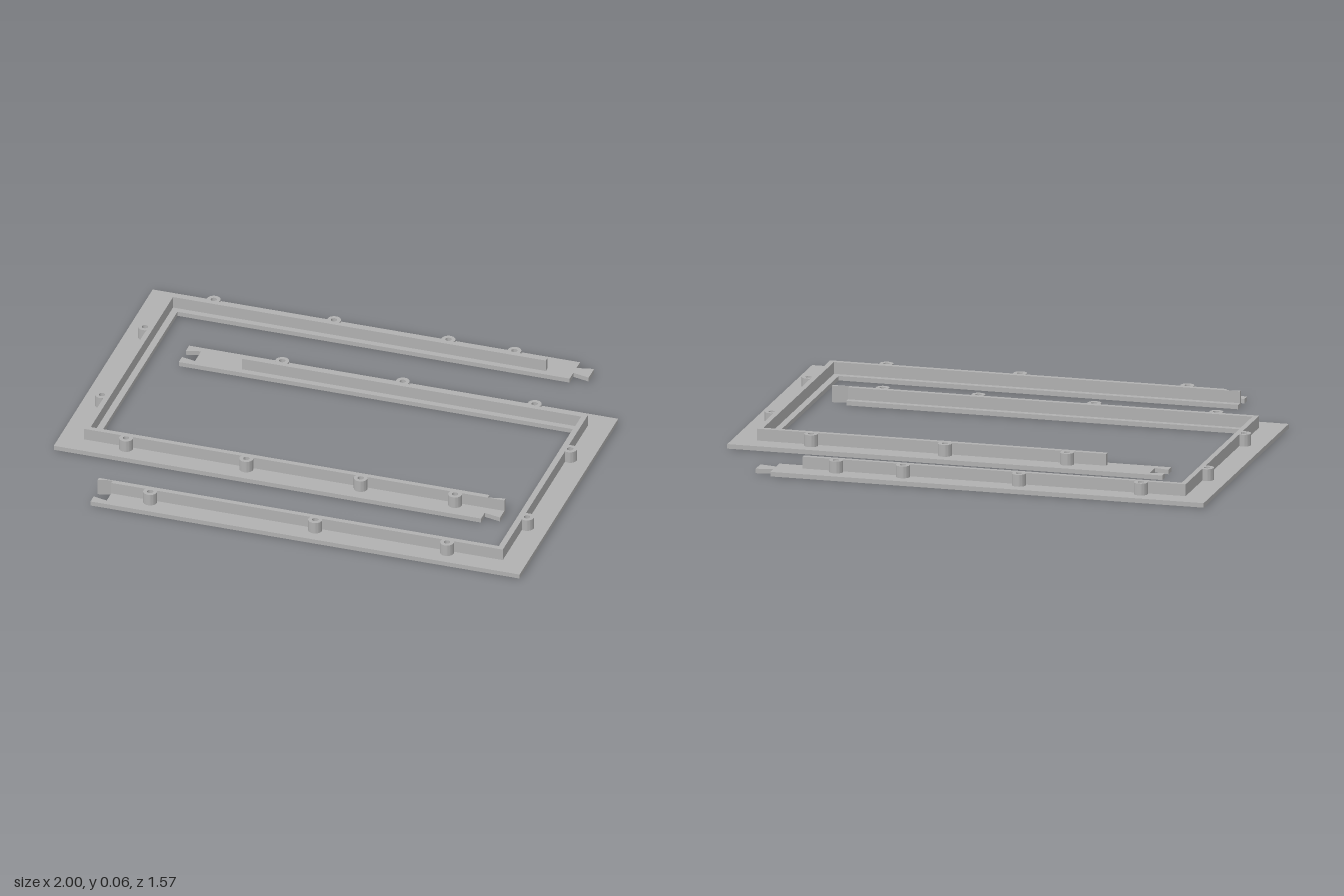
import * as THREE from 'three';
import { toCreasedNormals } from 'three/addons/utils/BufferGeometryUtils.js';

const BASE = 0.018, TOP = 0.065;
const grey = new THREE.MeshStandardMaterial({ color: 0xb0b0b0 });
grey.name = 'grey plastic';

// Extrudes a plan outline of [x, z] points from height y0 to y1
function slab(name, shape, y0, y1) {
  const s = Array.isArray(shape) ? new THREE.Shape(shape.map(p => new THREE.Vector2(...p))) : shape;
  const g = new THREE.ExtrudeGeometry(s, { depth: y1 - y0, bevelEnabled: false, curveSegments: 14 });
  g.rotateX(Math.PI / 2).translate(0, y1, 0);
  const mesh = new THREE.Mesh(toCreasedNormals(g, 0.6), grey);
  mesh.name = name;
  return mesh;
}

// Hollow screw post
function post(x, z) {
  const ring = new THREE.Shape().absarc(0, 0, 0.027, 0, Math.PI * 2);
  ring.holes.push(new THREE.Path().absarc(0, 0, 0.012, 0, Math.PI * 2, true));
  const mesh = slab('screwPost', ring, BASE - 0.002, TOP);
  mesh.position.set(x, 0, z);
  return mesh;
}

// Frame half with dovetail tongues
function tongueHalf() {
  const half = new THREE.Group();
  half.name = 'tongueHalf';
  const tongue = c => [[0.73, c - 0.019], [0.797, c - 0.034], [0.797, c + 0.034], [0.73, c + 0.019]];
  half.add(slab('basePlate', [
    [-1, -0.79], [0.73, -0.79], ...tongue(-0.726), [0.73, -0.662], [-0.858, -0.662],
    [-0.858, 0.302], [0.73, 0.302], ...tongue(0.366), [0.73, 0.43], [-1, 0.43],
  ], 0, BASE));
  half.add(slab('lip', [
    [0.625, -0.708], [0.625, -0.687], [-0.884, -0.687], [-0.884, 0.327], [0.73, 0.327],
    [0.73, 0.347], [0.797, 0.332], [0.797, 0.348], [-0.905, 0.348], [-0.905, -0.708],
  ], BASE, TOP));
  for (const x of [-0.73, -0.243, 0.22, 0.487]) half.add(post(x, -0.72));
  for (const x of [-0.73, -0.243, 0.22, 0.602]) half.add(post(x, 0.361));
  for (const z of [-0.445, 0.085]) half.add(post(-0.918, z));
  return half;
}

// Frame half with dovetail sockets
function socketHalf() {
  const half = new THREE.Group();
  half.name = 'socketHalf';
  const socket = c => [[-0.737, c - 0.024], [-0.68, c - 0.038], [-0.68, c + 0.038], [-0.737, c + 0.024]];
  half.add(slab('basePlate', [
    [1, -0.438], [-0.737, -0.438], ...socket(-0.374), [-0.737, -0.31], [0.858, -0.31],
    [0.858, 0.65], [-0.737, 0.65], ...socket(0.714), [-0.737, 0.778], [1, 0.778],
  ], 0, BASE));
  half.add(slab('lip', [
    [-0.49, -0.356], [-0.49, -0.335], [0.884, -0.335], [0.884, 0.675], [-0.737, 0.675],
    [-0.737, 0.69], [-0.68, 0.677], [-0.68, 0.696], [0.905, 0.696], [0.905, -0.356],
  ], BASE, TOP));
  for (const x of [-0.338, 0.15, 0.684]) half.add(post(x, -0.37));
  for (const x of [-0.518, 0.15, 0.684]) half.add(post(x, 0.709));
  for (const z of [-0.095, 0.436]) half.add(post(0.918, z));
  return half;
}

export function createModel() {
  const model = new THREE.Group();
  model.name = 'splitFrame';
  model.add(tongueHalf(), socketHalf());
  return model;
}
